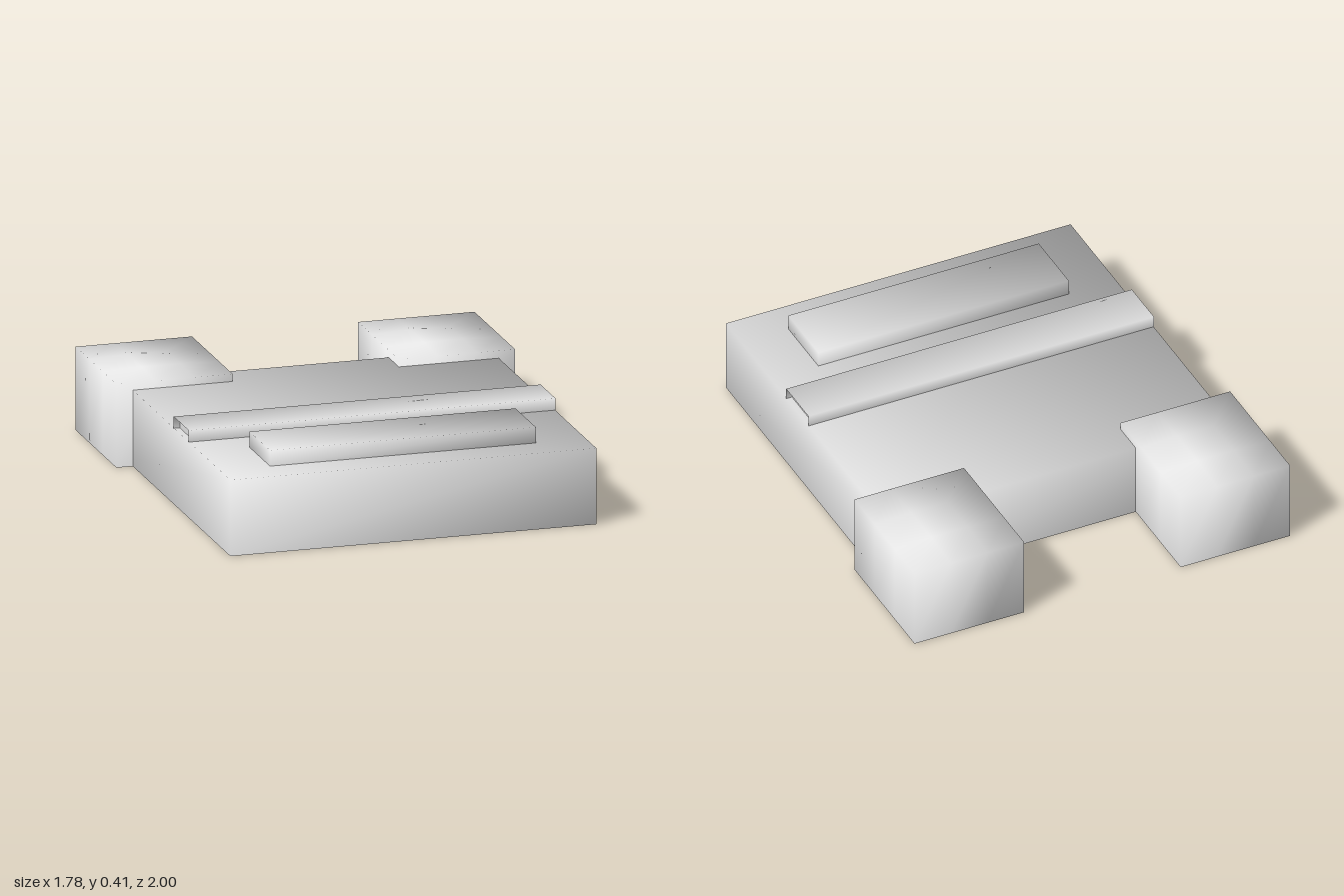
import * as THREE from 'three';

// Bottomless box shell from min corner to max corner, with normals rounded
// across its edges. sleeve leaves out both x ends, crown raises the mid top.
function shell(min, max, { sleeve = false, segments = 1, crown = 0 } = {}) {
  const size = max.map((v, i) => v - min[i]);
  const geo = new THREE.BoxGeometry(...size, segments, 1, segments);
  const omitted = sleeve ? [0, 1, 3] : [3];
  const index = Array.from(geo.index.array);
  geo.setIndex(geo.groups
    .filter((g) => !omitted.includes(g.materialIndex))
    .flatMap((g) => index.slice(g.start, g.start + g.count)));
  geo.clearGroups();

  const p = geo.attributes.position;
  const n = new THREE.Vector3();
  for (let i = 0; i < p.count; i++) {
    const u = 2 * p.getX(i) / size[0];
    const w = 2 * p.getZ(i) / size[2];
    const top = p.getY(i) > 0 ? 1 : 0;
    n.set(sleeve ? 0 : u, top, w).normalize();
    geo.attributes.normal.setXYZ(i, n.x, n.y, n.z);
    const inside = Math.abs(u) < 0.99 && Math.abs(w) < 0.99;
    if (top && inside) p.setY(i, p.getY(i) + crown);
  }
  geo.translate(...min.map((v, i) => v + size[i] / 2));
  return geo;
}

export function createModel() {
  const model = new THREE.Group();
  model.name = 'lowBlock';
  const grey = new THREE.MeshStandardMaterial({ color: 0xe4e4e4, side: THREE.DoubleSide });
  grey.name = 'light grey';

  const add = (name, geometry) => {
    const mesh = new THREE.Mesh(geometry, grey);
    mesh.name = name;
    model.add(mesh);
    return mesh;
  };

  // Main slab, hollow underneath, and raised front panel
  add('slab', shell([-0.815, 0, -0.56], [0.815, 0.338, 1]));
  add('frontPanel', shell([-0.592, 0.338, 0.555], [0.592, 0.408, 0.85]));

  // Cross bar: a sleeve with recessed ends
  add('crossBar', shell([-0.817, 0.338, 0.187], [0.817, 0.39, 0.404], { sleeve: true }));

  for (const side of [-1, 1]) {
    const label = side > 0 ? 'left' : 'right';

    const cap = add(label + 'BarEnd', new THREE.PlaneGeometry(0.217, 0.052));
    cap.position.set(side * 0.79, 0.364, 0.2955);
    cap.rotation.y = side * Math.PI / 2;

    // Rear towers, open underneath
    const [x0, x1] = side > 0 ? [0.37, 0.888] : [-0.888, -0.37];
    add(label + 'Tower', shell([x0, 0, -1], [x1, 0.371, -0.411], { segments: 3, crown: 0.006 }));
  }
  return model;
}
